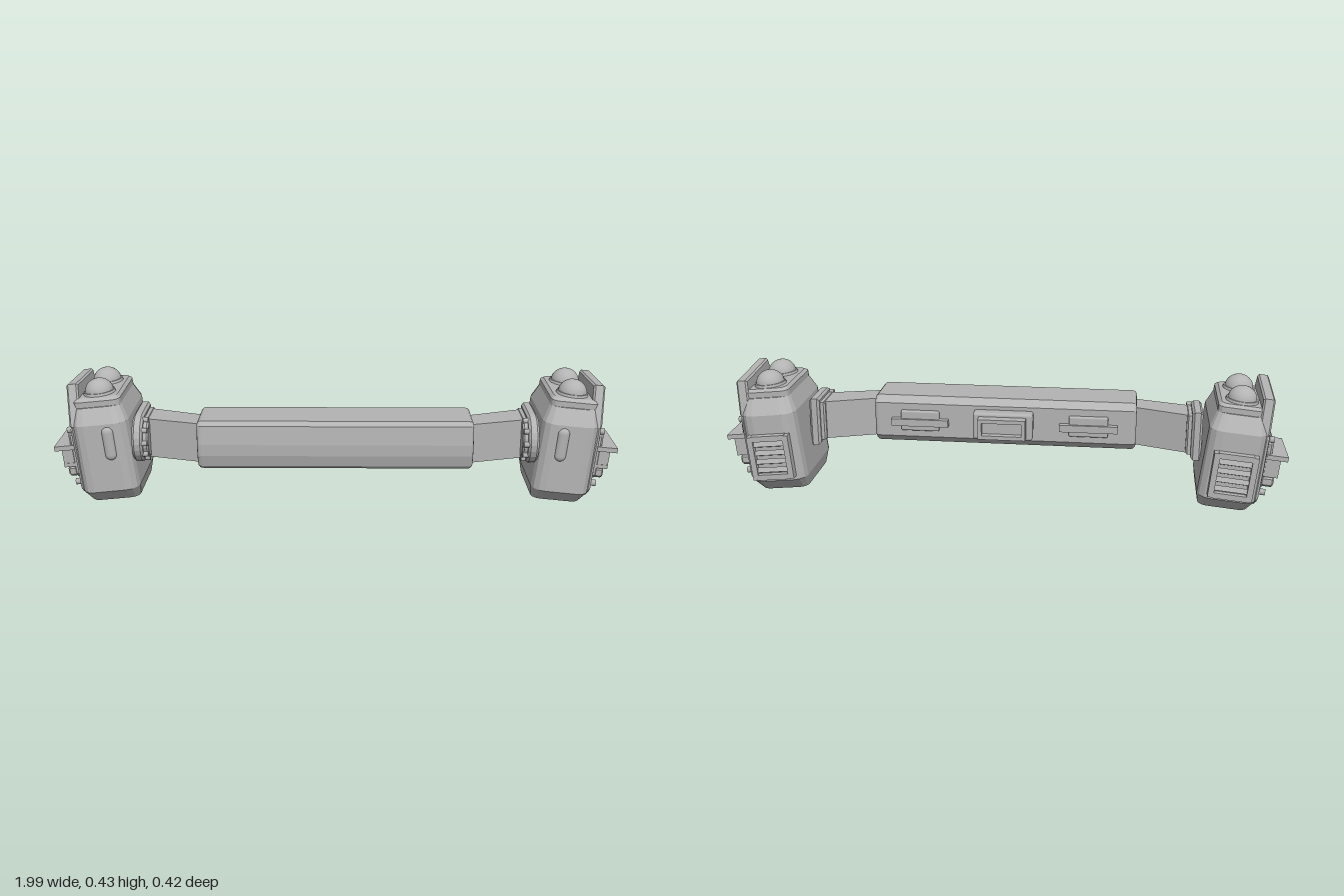
import * as THREE from 'three';
import { ConvexGeometry } from 'three/addons/geometries/ConvexGeometry.js';
import { RoundedBoxGeometry } from 'three/addons/geometries/RoundedBoxGeometry.js';

const grey = new THREE.MeshStandardMaterial({ color: 0xb3b3b3 });
grey.name = 'grey';

function add(parent, name, geometry, x = 0, y = 0, z = 0) {
  const mesh = new THREE.Mesh(geometry, grey);
  mesh.name = name;
  mesh.position.set(x, y, z);
  parent.add(mesh);
  return mesh;
}

const box = (w, h, d) => new THREE.BoxGeometry(w, h, d);

// Box given by its limits on each axis
function span(parent, name, [x0, x1], [y0, y1], [z0, z1]) {
  return add(parent, name, box(x1 - x0, y1 - y0, z1 - z0), (x0 + x1) / 2, (y0 + y1) / 2, (z0 + z1) / 2);
}

// Outline in [z, y], extruded along x from x0 to x1
function plate(outline, x0, x1, bevel = 0, segments = 1) {
  const shape = new THREE.Shape(outline.map(([z, y]) => new THREE.Vector2(z, y)));
  const depth = x1 - x0 - 2 * bevel;
  const geo = new THREE.ExtrudeGeometry(shape, {
    depth, bevelEnabled: bevel > 0, bevelThickness: bevel, bevelSize: bevel, bevelOffset: -bevel, bevelSegments: segments,
  });
  geo.translate(0, 0, -depth / 2);
  geo.rotateY(-Math.PI / 2);
  geo.translate((x0 + x1) / 2, 0, 0);
  return geo;
}

// Rectangle with cut corners, in [z, y]
const cutRect = (z0, z1, y0, y1, c) => [
  [z0 + c, y0], [z1 - c, y0], [z1, y0 + c], [z1, y1 - c],
  [z1 - c, y1], [z0 + c, y1], [z0, y1 - c], [z0, y0 + c],
];

// Rounded horizontal rings joined into one solid: [y, x0, x1, z0, z1, radius]
function hull(levels) {
  const points = [];
  for (const [y, x0, x1, z0, z1, r] of levels) {
    for (let i = 0; i < 4; i++) {
      const cx = i === 0 || i === 3 ? x1 - r : x0 + r;
      const cz = i < 2 ? z1 - r : z0 + r;
      for (let k = 0; k < 4; k++) {
        const a = (i + k / 3) * Math.PI / 2;
        points.push(new THREE.Vector3(cx + r * Math.cos(a), y, cz + r * Math.sin(a)));
      }
    }
  }
  return new ConvexGeometry(points);
}

function createPod() {
  const pod = new THREE.Group();
  pod.name = 'endPod';
  pod.position.set(0.79, 0.008, 0);
  pod.rotation.z = -0.1;

  add(pod, 'podShell', hull([
    [0, -0.095, 0.075, -0.145, 0.135, 0.03],
    [0.045, -0.105, 0.096, -0.188, 0.176, 0.045],
    [0.29, -0.1, 0.096, -0.188, 0.172, 0.045],
    [0.345, -0.08, 0.085, -0.155, 0.14, 0.035],
  ]));

  // Domes on a stepped base
  add(pod, 'domeBase', hull([
    [0.34, -0.08, 0.085, -0.15, 0.135, 0.025],
    [0.365, -0.08, 0.085, -0.15, 0.135, 0.025],
    [0.375, -0.07, 0.085, -0.14, 0.12, 0.025],
  ]));
  for (const z of [0.06, -0.08]) {
    add(pod, 'domeRing', new THREE.CylinderGeometry(0.054, 0.057, 0.012, 32), 0, 0.378, z);
    const dome = add(pod, 'dome', new THREE.SphereGeometry(0.05, 32, 12, 0, Math.PI * 2, 0, Math.PI / 2), 0, 0.38, z);
    dome.scale.y = 0.94;
  }

  // Outer face: wing, panels, bolts and rivets
  add(pod, 'wing', plate([[0.155, 0.285], [0.1, 0.425], [-0.145, 0.41], [-0.165, 0.285]], 0.062, 0.102, 0.006));
  add(pod, 'outerPanel', plate(cutRect(-0.165, 0.152, 0.028, 0.3, 0.025), 0.07, 0.103, 0.01));
  add(pod, 'innerPanel', plate(cutRect(-0.125, 0.113, 0.055, 0.275, 0.012), 0.09, 0.11, 0.004));
  for (const [z, y] of [[0.093, 0.258], [-0.107, 0.258], [0.103, 0.067], [-0.115, 0.067]]) {
    const bolt = add(pod, 'bolt', new THREE.CylinderGeometry(0.011, 0.012, 0.026, 8), 0.115, y, z);
    bolt.rotation.z = Math.PI / 2;
  }
  for (let i = 0; i < 9; i++) {
    for (const z of [0.106, -0.12]) add(pod, 'rivet', box(0.004, 0.005, 0.004), 0.111, 0.09 + i * 0.018, z);
  }

  // Outer bracket: shelf, struts and lower step
  add(pod, 'bracketBase', plate(cutRect(-0.095, 0.088, 0.075, 0.25, 0.015), 0.1, 0.133, 0.008));
  span(pod, 'bracketShelf', [0.11, 0.188], [0.183, 0.2], [-0.105, 0.095]);
  for (const z of [0.078, -0.092]) span(pod, 'bracketStrut', [0.11, 0.165], [0.13, 0.185], [z - 0.008, z + 0.008]);
  span(pod, 'bracketBar', [0.11, 0.165], [0.118, 0.132], [-0.1, 0.088]);
  add(pod, 'bracketStep', plate(cutRect(-0.1, 0.085, 0.08, 0.118, 0.008), 0.11, 0.155, 0.006));

  // Back vent with slats
  const vent = new THREE.Group();
  vent.name = 'backVent';
  pod.add(vent);
  span(vent, 'ventBack', [-0.07, 0.07], [0.06, 0.22], [-0.193, -0.175]);
  for (const s of [-1, 1]) {
    span(vent, 'ventSide', s < 0 ? [-0.075, -0.055] : [0.055, 0.075], [0.06, 0.22], [-0.213, -0.18]);
    const y = 0.14 + s * 0.072;
    span(vent, 'ventEdge', [-0.06, 0.06], [y - 0.01, y + 0.01], [-0.213, -0.18]);
  }
  for (let i = 0; i < 4; i++) {
    const slat = add(vent, 'ventSlat', box(0.115, 0.018, 0.014), 0, 0.092 + i * 0.032, -0.199);
    slat.rotation.x = 0.4;
  }

  // Raised oval on the front
  const oval = add(pod, 'frontOval', new THREE.CapsuleGeometry(0.02, 0.08, 6, 16), -0.03, 0.22, 0.172);
  oval.scale.z = 0.7;
  return pod;
}

// Arm and collar joining the beam to a pod
function createArm() {
  const arm = new THREE.Group();
  arm.name = 'arm';
  const points = [];
  for (const [x, z0, z1] of [[0.44, 0.065, 0.165], [0.48, 0.055, 0.153], [0.67, -0.018, 0.1]]) {
    for (const y of [0.158, 0.298]) points.push(new THREE.Vector3(x, y, z0), new THREE.Vector3(x, y, z1));
  }
  add(arm, 'armBar', new ConvexGeometry(points));

  // Collar is square at the back and round at the front
  const outline = (r, back) => {
    const pts = [[back, 0.228 + r], [back, 0.228 - r]];
    for (let i = 0; i <= 12; i++) {
      const a = -Math.PI / 2 + i * Math.PI / 12;
      pts.push([0.09 + r * Math.cos(a), 0.228 + r * Math.sin(a)]);
    }
    return pts;
  };
  add(arm, 'collar', plate(outline(0.088, -0.04), 0.668, 0.705, 0.008));
  add(arm, 'collarFace', plate(outline(0.072, -0.025), 0.65, 0.69, 0.006));
  for (let i = 0; i < 5; i++) {
    const a = (i - 2) * 0.62;
    const bolt = add(arm, 'collarBolt', new THREE.CylinderGeometry(0.01, 0.01, 0.02, 8),
      0.662, 0.228 + 0.074 * Math.sin(a), 0.09 + 0.074 * Math.cos(a));
    bolt.rotation.z = Math.PI / 2;
  }
  return arm;
}

export function createModel() {
  const model = new THREE.Group();
  model.name = 'visorBand';

  // Central beam
  add(model, 'beam', plate([
    [0.03, 0.148], [0.188, 0.148], [0.2, 0.16], [0.21, 0.2], [0.211, 0.24], [0.204, 0.305],
    [0.19, 0.32], [0.035, 0.32], [0.008, 0.297], [0.008, 0.172],
  ], -0.475, 0.475, 0.016, 3));

  // Fittings on the back of the beam
  add(model, 'centreBase', new RoundedBoxGeometry(0.215, 0.1, 0.05, 2, 0.01), 0, 0.235, -0.012);
  for (const s of [-1, 1]) {
    add(model, 'centreRim', box(0.17, 0.014, 0.04), 0, 0.235 + s * 0.03, -0.052);
    add(model, 'centreRimEnd', box(0.014, 0.07, 0.04), s * 0.078, 0.235, -0.052);
    add(model, 'sideFitting', new RoundedBoxGeometry(0.14, 0.075, 0.022, 2, 0.006), s * 0.305, 0.235, 0.005);
    add(model, 'sideFittingBar', box(0.208, 0.026, 0.022), s * 0.305, 0.23, -0.003);
  }
  add(model, 'centreInset', box(0.15, 0.05, 0.02), 0, 0.235, -0.037);

  // Mirrored ends
  for (const s of [1, -1]) {
    const end = new THREE.Group();
    end.name = s > 0 ? 'leftEnd' : 'rightEnd';
    end.add(createArm(), createPod());
    end.scale.x = s;
    model.add(end);
  }
  return model;
}
